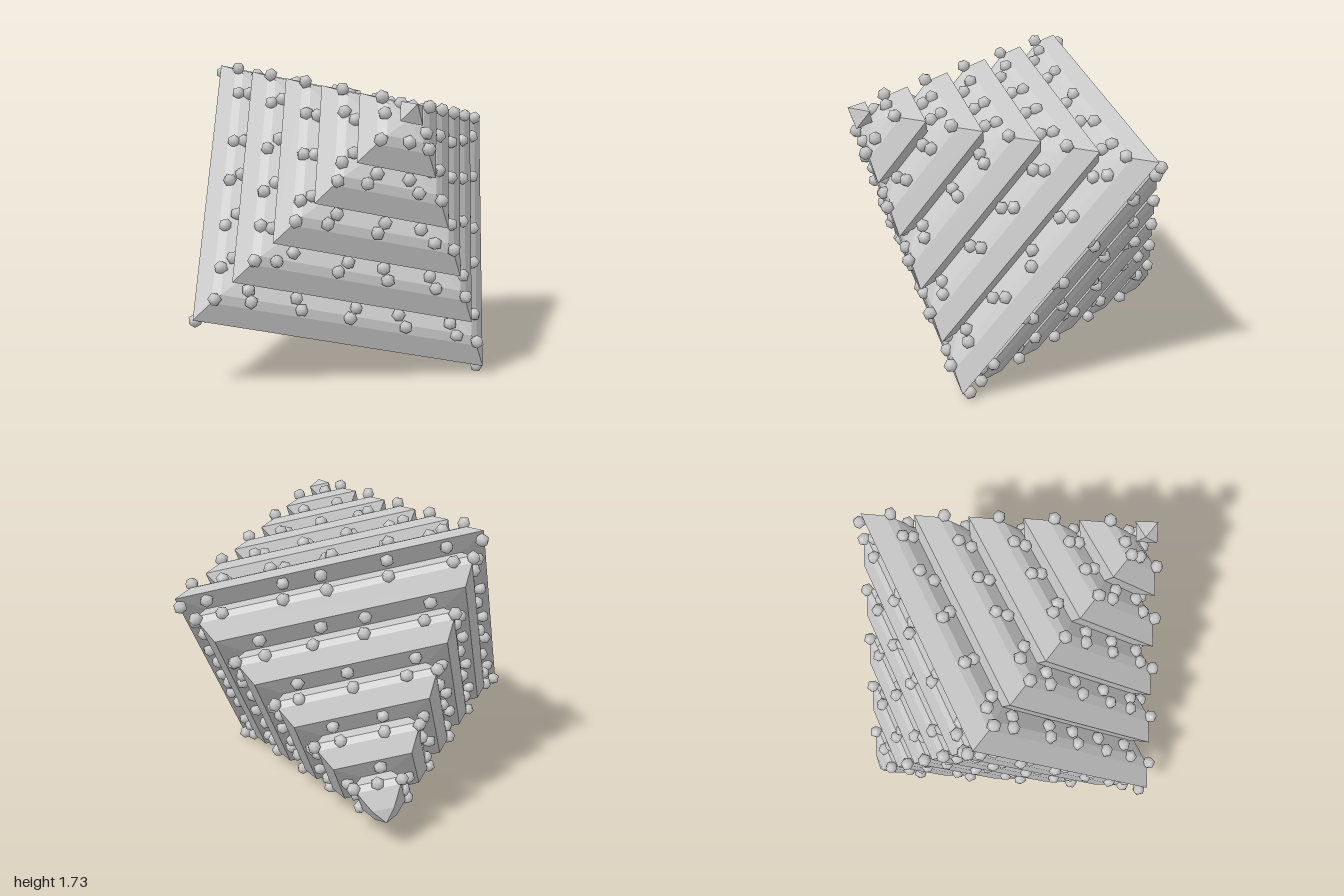
import * as THREE from 'three';
import { mergeGeometries } from 'three/addons/utils/BufferGeometryUtils.js';

const TIERS = 6;
const RIM = 1.178;       // corner radius of the widest rim
const STEP_R = 0.2185;   // inward step per tier
const STEP_H = 0.22;     // height step per tier

const stone = new THREE.MeshStandardMaterial({ color: 0xcccccc, flatShading: true });
const beadMaterial = new THREE.MeshStandardMaterial({ color: 0xcccccc });

// Saw-tooth running one way through both halves: [radius, height] offsets from a tier's rim
const FRONT = {
  name: 'frontPyramid',
  profile: [[0, 0], [-0.105, 0.095], [-0.165, 0.125], [-0.305, 0.143]],
  beadRows: [[-0.145, 0.125], [-0.225, 0.147]],
  ridgeBead: [-0.12, 0.125],
  tipHeight: 1.188,
  seed: 17,
};
const BACK = {
  name: 'backPyramid',
  profile: [[0, 0], [-0.185, 0.02], [-0.122, 0.082], [-0.132, 0.122]],
  beadRows: [[-0.07, 0.02], [-0.122, 0.095]],
  ridgeBead: [-0.115, 0.1],
  tipHeight: 1.155,
  seed: 91,
};

function seeded(seed) {
  return () => {
    seed = (seed * 16807) % 2147483647;
    return seed / 2147483647;
  };
}

const tierPoint = (tier, [dr, dh]) => new THREE.Vector2(
  Math.max(RIM - STEP_R * tier + dr, 0.001), STEP_H * tier + dh);

const corner = (k, r, h) => new THREE.Vector3(
  r * Math.sin(k * Math.PI / 2), h, r * Math.cos(k * Math.PI / 2));

// One square tier, from its rim up to the next rim
function makeTier(profile, tier) {
  const points = profile.map(offset => tierPoint(tier, offset));
  points.push(tierPoint(tier + 1, [0, 0]));
  const mesh = new THREE.Mesh(new THREE.LatheGeometry(points, 4), stone);
  mesh.name = `tier${tier + 1}`;
  return mesh;
}

function makeTip(height) {
  const points = [tierPoint(TIERS - 1, [0, 0]), new THREE.Vector2(0, height)];
  const mesh = new THREE.Mesh(new THREE.LatheGeometry(points, 4), stone);
  mesh.name = 'tip';
  return mesh;
}

// Smooth-shaded low-poly bead
function makeBead(position, random) {
  const bead = new THREE.IcosahedronGeometry(0.039, 0);
  bead.setAttribute('normal', bead.attributes.position.clone());
  bead.normalizeNormals();
  bead.rotateX(random() * 6.28).rotateY(random() * 6.28);
  return bead.translate(position.x, position.y, position.z);
}

// Two rows of beads along each side of every groove, one on each ridge
function makeBeads({ beadRows, ridgeBead, seed }) {
  const random = seeded(seed);
  const beads = [];
  for (let tier = 0; tier < TIERS - 1; tier++) {
    const count = TIERS - 1 - tier;
    const ridge = tierPoint(tier, ridgeBead);
    const rows = beadRows.map(offset => tierPoint(tier, offset)).filter(p => p.x > 0.1);
    for (let side = 0; side < 4; side++) {
      beads.push(makeBead(corner(side, ridge.x, ridge.y), random));
      for (const p of rows) {
        for (let i = 0; i < count; i++) {
          const t = (i + 0.5 + (random() - 0.5) * 0.35) / count;
          const spot = corner(side, p.x, p.y).lerp(corner(side + 1, p.x, p.y), t);
          beads.push(makeBead(spot, random));
        }
      }
    }
  }
  const mesh = new THREE.Mesh(mergeGeometries(beads), beadMaterial);
  mesh.name = 'grooveBeads';
  return mesh;
}

function makeHalf(spec) {
  const half = new THREE.Group();
  half.name = spec.name;
  for (let tier = 0; tier < TIERS - 1; tier++) half.add(makeTier(spec.profile, tier));
  half.add(makeTip(spec.tipHeight), makeBeads(spec));
  return half;
}

export function createModel() {
  const model = new THREE.Group();
  model.name = 'steppedOctahedron';

  const body = new THREE.Group();
  body.name = 'body';
  const back = makeHalf(BACK);
  back.rotation.x = Math.PI;
  body.add(makeHalf(FRONT), back);

  // Beads at the four corners of the widest rim
  const random = seeded(5);
  for (let k = 0; k < 4; k++) {
    const bead = new THREE.Mesh(makeBead(corner(k, 1.15, -0.045), random), beadMaterial);
    bead.name = `cornerBead${k + 1}`;
    body.add(bead);
  }

  // Tilt the pyramid axis onto the (1, 1, 1) diagonal
  const axis = new THREE.Vector3(1, 1, 1).normalize();
  const zDir = new THREE.Vector3(-1, -1, 2).normalize();
  const xDir = new THREE.Vector3().crossVectors(axis, zDir);
  body.quaternion.setFromRotationMatrix(new THREE.Matrix4().makeBasis(xDir, axis, zDir));
  body.position.y = 0.88;
  model.add(body);
  return model;
}
